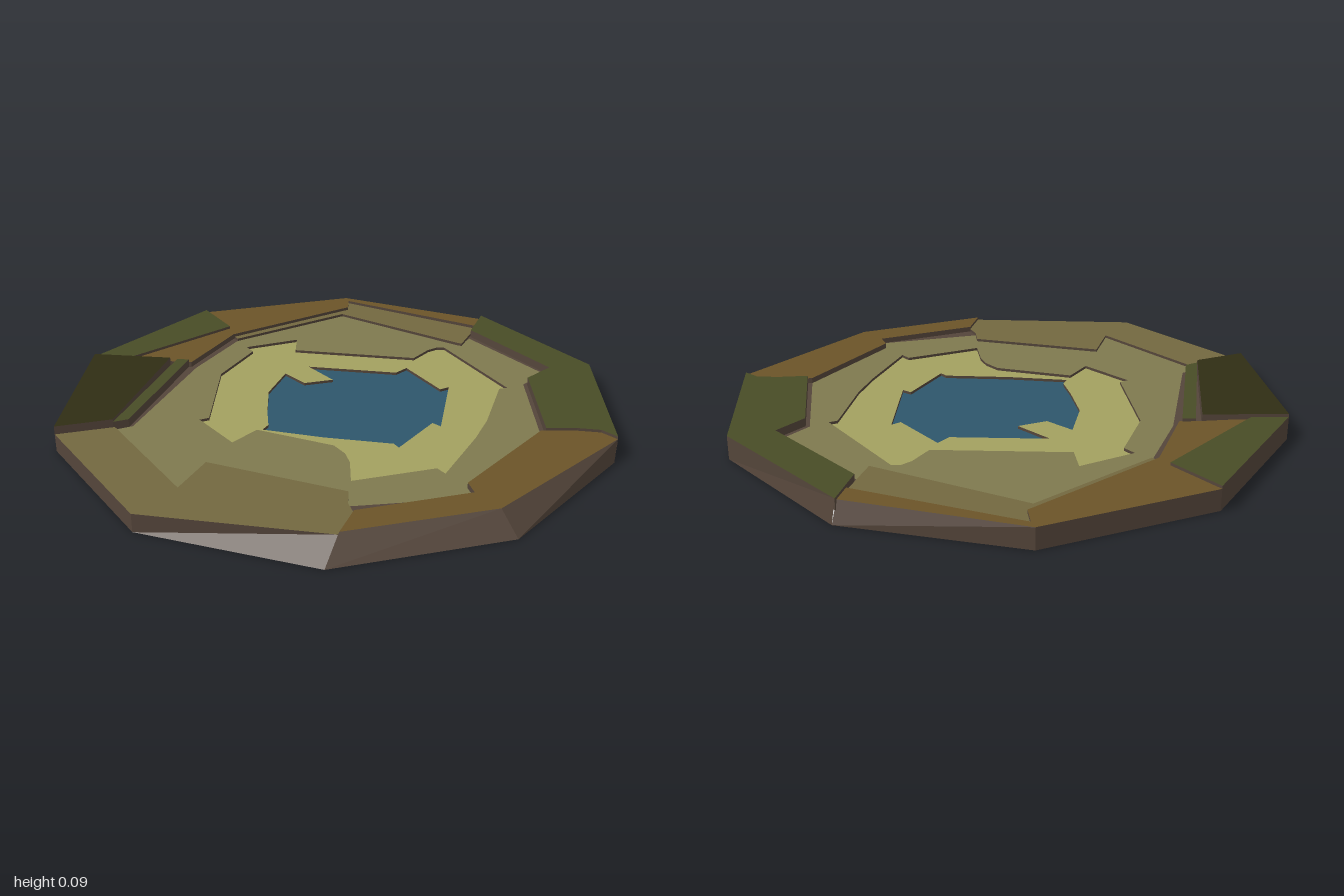
import * as THREE from 'three';

const EARTH = 0x54453a;
const mat = (color) => new THREE.MeshStandardMaterial({ color, flatShading: true, roughness: 1 });
const earthMat = mat(EARTH);
earthMat.side = THREE.DoubleSide;

// outlines are flat lists of x, z pairs seen from above
const points = (flat) => {
  const out = [];
  for (let i = 0; i < flat.length; i += 2) out.push(new THREE.Vector2(flat[i], -flat[i + 1]));
  return out;
};

// flat terrace with a coloured top at height h and earth-coloured sides
function terrace(name, outline, h, depth, color, hole) {
  const shape = new THREE.Shape(points(outline));
  if (hole) shape.holes.push(new THREE.Path(points(hole)));
  const geo = new THREE.ExtrudeGeometry(shape, { depth, bevelEnabled: false });
  geo.rotateX(-Math.PI / 2).translate(0, h - depth, 0);
  const mesh = new THREE.Mesh(geo, [mat(color), earthMat]);
  mesh.name = name;
  return mesh;
}

const WATER = [-.22, -.28, .115, -.345, .14, -.4, .315, -.26, .34, -.29, .37, -.13, .4, .03, .365, .015,
  .31, .23, .285, .21, .045, .25, -.175, .27, -.17, .23, -.215, .135, -.275, -.015, -.28, -.19,
  -.18, -.135, -.09, -.2];
const SAND = [-.355, -.49, -.32, -.39, .145, -.48, .175, -.575, .2, -.61, .23, -.62, .55, -.34, .525, -.32,
  .545, -.05, .54, .09, .51, .365, .475, .34, .24, .515, .195, .4, .16, .35, .105, .31, -.185, .295,
  -.225, .41, -.405, .295, -.38, .27, -.5, -.08, -.475, -.32, -.515, -.35];
const MEADOW = [-.27, -.795, .28, -.66, .3, -.745, .655, -.51, .6, -.39, .745, -.005, .6, .43, .635, .48,
  .285, .665, .26, .595, -.24, .58, -.25, .76, -.645, .465, -.6, .42, -.615, -.1, -.575, -.4];

// ten-sided foot, counter-clockwise seen from above
const FOOT = [1, 0, .81, -.59, .31, -.945, -.31, -.955, -.81, -.59, -1, 0, -.81, .585, -.31, .95, .31, .935, .8, .58];
// upper edge of each outer wall: x1, z1, x2, z2, height
const RIM = [
  [1, -.03, .81, -.59, .085], [.81, -.59, .3, -.935, .085], [.3, -.92, -.31, -.955, .075],
  [-.31, -.955, -.81, -.59, .075], [-.81, -.59, -1, 0, .085], [-1, 0, -.81, .585, .095],
  [-.81, .585, -.31, .95, .065], [-.31, .95, .32, .84, .065], [.32, .84, .735, .545, .075],
  [.735, .545, 1, -.03, .075],
];

// outer walls leaning from the foot to the rim
function outerWalls() {
  const pos = [];
  RIM.forEach(([x1, z1, x2, z2, h], i) => {
    const j = (i + 1) % RIM.length;
    const a = [FOOT[2 * i], 0, FOOT[2 * i + 1]], b = [FOOT[2 * j], 0, FOOT[2 * j + 1]];
    const c = [x2, h, z2], d = [x1, h, z1];
    pos.push(...a, ...b, ...c, ...a, ...c, ...d);
  });
  const geo = new THREE.BufferGeometry();
  geo.setAttribute('position', new THREE.Float32BufferAttribute(pos, 3));
  geo.computeVertexNormals();
  const mesh = new THREE.Mesh(geo, earthMat);
  mesh.name = 'outerWalls';
  return mesh;
}

export function createModel() {
  const g = new THREE.Group();
  g.name = 'terracedPond';

  // underside
  const under = new THREE.Mesh(new THREE.ShapeGeometry(new THREE.Shape(points(FOOT))), mat(0xcccccc));
  under.geometry.rotateX(Math.PI / 2).scale(1, 1, -1);
  // mirroring turned the corners round, so show both sides
  under.material.side = THREE.DoubleSide;
  under.name = 'underside';
  g.add(under, outerWalls());

  // earth showing in the gaps between terraces
  const inner = RIM.flatMap(([x, z]) => [x * .975, z * .975]);
  g.add(terrace('earthBed', inner, .055, .01, EARTH, MEADOW));

  // pond, beach and meadow
  g.add(terrace('water', WATER, .035, .02, 0x2e566b));
  g.add(terrace('sand', SAND, .045, .02, 0xa3a060, WATER));
  g.add(terrace('meadow', MEADOW, .055, .02, 0x7e794f, SAND));

  // low banks
  const BANK = 0x736840, SOIL = 0x6b5428, GRASS = 0x484c26, DARK = 0x302d14;
  g.add(terrace('frontBank', [-.645, .465, -.81, .585, -.31, .95, .32, .84, .32, .71, .285, .665,
    .26, .595, -.24, .58, -.25, .76], .065, .02, BANK));
  g.add(terrace('backBank', [-.595, -.41, -.265, -.85, -.29, -.925, .3, -.835, .29, -.66,
    -.27, -.795, -.575, -.395], .065, .02, BANK));

  // soil ridges
  g.add(terrace('leftSoil', [.32, .84, .735, .545, 1, -.03, .94, -.06, .86, -.045, .745, -.005,
    .6, .43, .635, .48, .32, .71], .075, .03, SOIL));
  g.add(terrace('backSoil', [-.81, -.59, -.31, -.955, .3, -.92, .3, -.84, -.29, -.925, -.265, -.855,
    -.6, -.41, -.635, -.1, -.7, -.085, -.88, -.02, -.64, -.46], .075, .03, SOIL));

  // grass ridges
  g.add(terrace('leftGrass', [.3, -.935, .81, -.59, 1, -.03, .94, -.06, .86, -.045, .76, -.01,
    .615, -.39, .672, -.51, .3, -.765], .085, .04, GRASS));
  g.add(terrace('rightGrass', [-1, 0, -.81, -.59, -.64, -.46, -.88, -.02], .085, .04, GRASS));
  g.add(terrace('grassStep', [-.69, -.088, -.645, -.1, -.61, .43, -.65, .467], .085, .04, GRASS));

  // highest ridge
  g.add(terrace('darkRidge', [-1, 0, -.71, -.07, -.65, .467, -.81, .585], .095, .05, DARK));
  return g;
}
